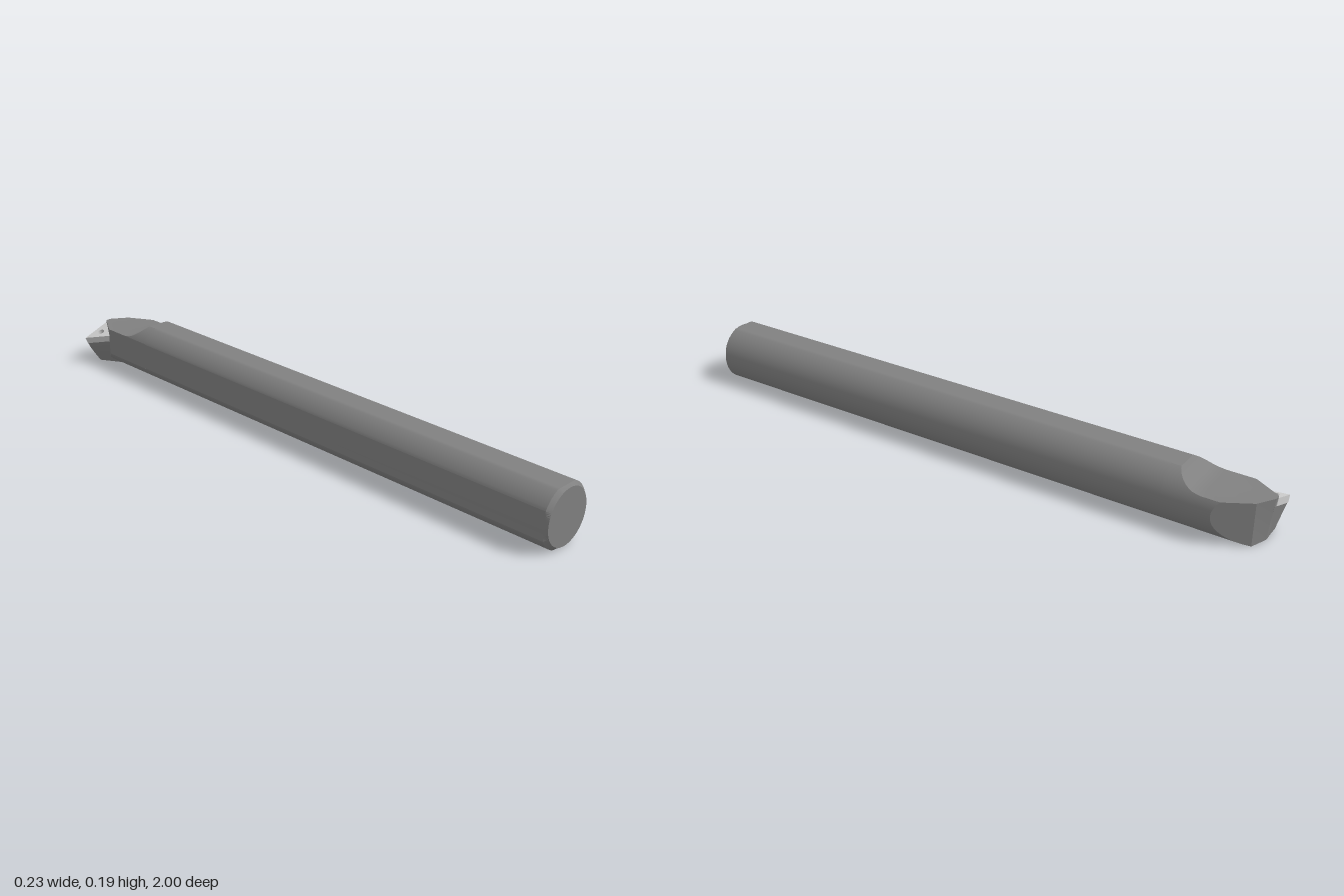
import * as THREE from 'three';
import { toCreasedNormals } from 'three/addons/utils/BufferGeometryUtils.js';

const CX = 0.0165, CY = 0.0925, R = 0.1;   // bar axis and radius
const TOP = 0.185, LEFT = -0.072;          // ground flats
const SEAM = -0.705, HEAD_TOP = 0.14;
const TILT = 0.37;                         // insert tilt
const { clamp, lerp } = THREE.MathUtils;

// Crease at enlarged scale so that small neighbouring points stay distinct
function crease(geometry, angle = 0.3) {
  geometry.scale(100, 100, 100);
  const g = toCreasedNormals(geometry, angle);
  g.scale(0.01, 0.01, 0.01);
  return g;
}

// Closed solid from stacked loops, each anticlockwise seen from above
function loft(rings) {
  const n = rings[0].length, pos = rings.flat(2), idx = [];
  for (let k = 0; k < rings.length - 1; k++) {
    for (let i = 0; i < n; i++) {
      const a = k * n + i, b = k * n + (i + 1) % n;
      idx.push(a, b, b + n, a, b + n, a + n);
    }
  }
  const last = (rings.length - 1) * n;
  for (let i = 1; i < n - 1; i++) {
    idx.push(0, i + 1, i, last, last + i, last + i + 1);
  }
  const g = new THREE.BufferGeometry();
  g.setAttribute('position', new THREE.Float32BufferAttribute(pos, 3));
  g.setIndex(idx);
  return crease(g);
}

// Round shank with end chamfer; points are pressed onto the flats
function shankGeometry() {
  const profile = [[0, SEAM], [R, SEAM], [R, 0.988], [0.088, 1], [0, 1]];
  const g = new THREE.LatheGeometry(profile.map(p => new THREE.Vector2(...p)), 120);
  g.rotateX(Math.PI / 2);
  g.translate(CX, CY, 0);
  const p = g.attributes.position;
  for (let i = 0; i < p.count; i++) {
    p.setXY(i, Math.max(p.getX(i), LEFT), clamp(p.getY(i), 0, TOP));
  }
  return crease(g);
}

// Plan outline of the tip: x, z, and how far it leans back toward the bottom
const tip = [[0.117, -0.858, 0], [0.055, -0.965, 0], [0, -1, 0.1], [-0.02, -1, 0.1], [LEFT, -0.912, 0]];

function tipZ(x, y) {
  const i = Math.max(1, tip.findIndex(p => p[0] <= x + 1e-9));
  const [a, b] = [tip[i - 1], tip[i]];
  const t = (x - a[0]) / (b[0] - a[0]);
  return lerp(a[1], b[1], t) + lerp(a[2], b[2], t) * (HEAD_TOP - y);
}

// Head built in horizontal layers; the upper ones end at the curved relief
function headGeometry() {
  const layer = (y, relief) => {
    const w = Math.sqrt(R * R - (y - CY) ** 2);
    const xl = Math.max(LEFT, CX - w), xr = CX + w;
    const reliefZ = -0.735 - 0.085 * (1 - Math.sqrt(Math.max(0, y - HEAD_TOP) / (TOP - HEAD_TOP)));
    const end = tip.map(p => {
      const x = clamp(p[0], xl, xr);
      return [x, y, relief ? reliefZ : tipZ(x, y)];
    });
    return [[xl, y, SEAM], [xr, y, SEAM], ...end];
  };
  const angleAt = y => Math.asin((y - CY) / R);
  const layers = [];
  const stack = (y0, y1, steps, relief) => {
    for (let i = 0; i <= steps; i++) {
      const a = lerp(angleAt(y0), angleAt(y1), i / steps);
      layers.push(layer(clamp(CY + R * Math.sin(a), y0, y1), relief));
    }
  };
  stack(0, HEAD_TOP, 36, false);
  stack(HEAD_TOP, TOP, 16, true);
  return loft(layers);
}

// Support below the insert, widening upward to its tilted underside
function seatGeometry() {
  const rings = [];
  for (let i = 0; i <= 10; i++) {
    const t = i / 10;
    const outer = -0.068 - 0.04 * (1.4 * t - 0.4 * t * t);
    const zf = -0.998 + 0.013 * (1 - t);
    const plan = [[outer, zf], [outer + 0.05, zf + 0.088], [0, -0.87], [0, zf]];
    rings.push(plan.map(([x, z]) => [x, t * (0.0726 + (x + 0.108) * Math.tan(TILT)), z]));
  }
  return loft(rings);
}

// Triangular cutting insert with a screw hole
function insertGeometry() {
  const shape = new THREE.Shape([[0, 0], [0.052, -0.086], [0.104, 0]].map(p => new THREE.Vector2(...p)));
  const hole = new THREE.Path();
  hole.absarc(0.052, -0.029, 0.013, 0, Math.PI * 2, true);
  shape.holes.push(hole);
  const g = new THREE.ExtrudeGeometry(shape, { depth: 0.024, bevelEnabled: false, curveSegments: 24 });
  g.rotateX(-Math.PI / 2);
  g.translate(0, -0.024, 0);
  return g;
}

export function createModel() {
  const group = new THREE.Group();
  group.name = 'boringBar';
  const steel = new THREE.MeshStandardMaterial({ color: 0x808080 });
  const carbide = new THREE.MeshStandardMaterial({ color: 0xcccccc });
  const add = (name, geometry, material) => {
    const mesh = new THREE.Mesh(geometry, material);
    mesh.name = name;
    group.add(mesh);
    return mesh;
  };

  add('shank', shankGeometry(), steel);
  add('head', headGeometry(), steel);
  add('insertSeat', seatGeometry(), steel);
  const insert = add('cuttingInsert', insertGeometry(), carbide);
  insert.position.set(-0.117, 0.095, -1);
  insert.rotation.z = TILT;
  return group;
}
